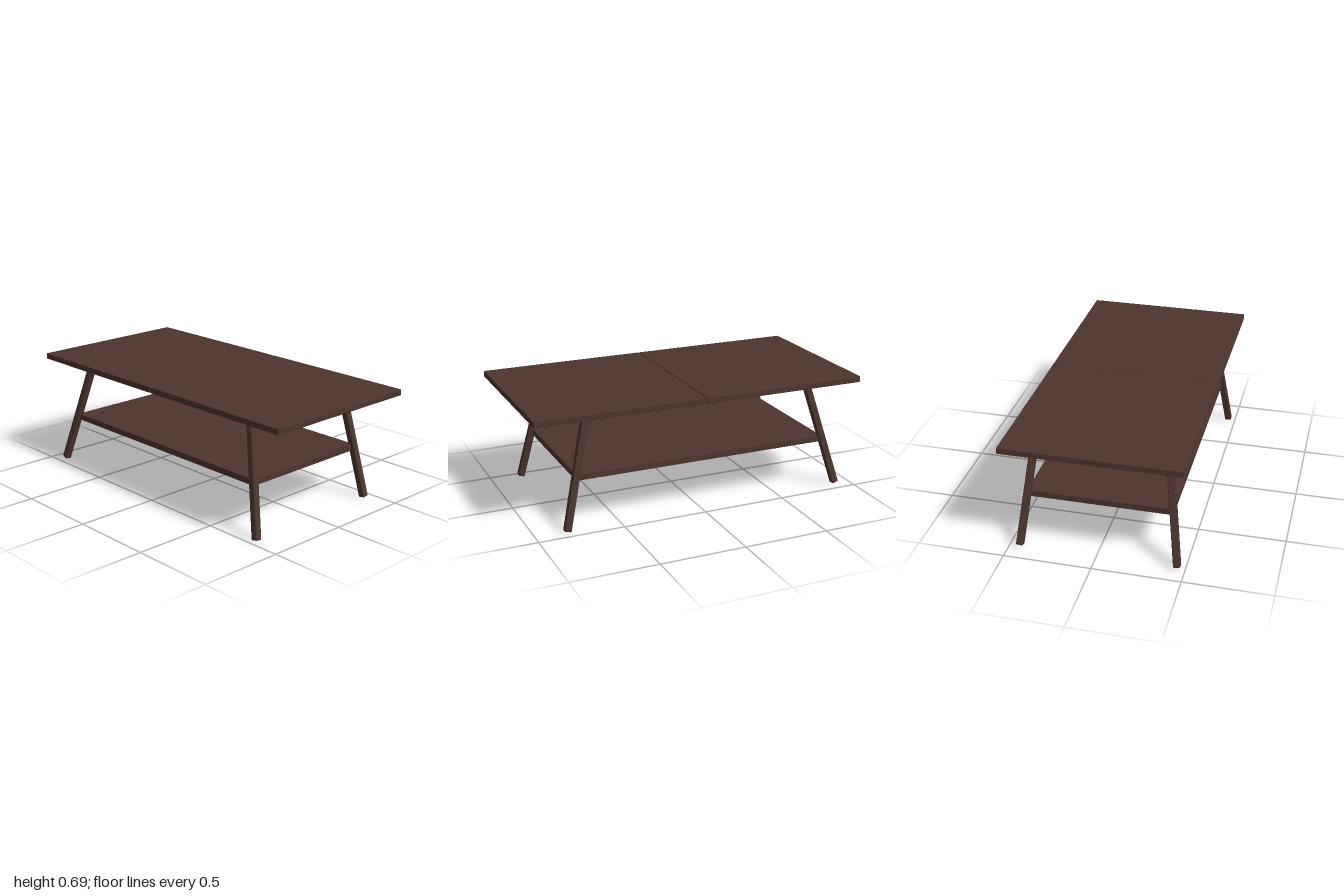
import * as THREE from 'three';
import { RoundedBoxGeometry } from 'three/addons/geometries/RoundedBoxGeometry.js';

export function createModel() {
  const table = new THREE.Group();
  table.name = 'coffeeTable';
  const wood = new THREE.MeshStandardMaterial({ color: 0x4e342e });
  wood.name = 'darkWood';

  // Softly eased wooden board
  function board(name, w, h, d, x, y, z, radius) {
    const mesh = new THREE.Mesh(new RoundedBoxGeometry(w, h, d, 2, radius), wood);
    mesh.name = name;
    mesh.position.set(x, y, z);
    table.add(mesh);
    return mesh;
  }

  // Table top in two halves with a thin seam between them
  const gap = 0.005;
  const half = 1 - gap / 2;
  for (const side of [1, -1]) {
    board(side > 0 ? 'frontTop' : 'backTop', 1, 0.036, half, 0, 0.678, side * (gap / 2 + half / 2), 0.004);
  }

  // Lower shelf, its corners resting in the legs
  board('shelf', 0.824, 0.038, 1.55, 0, 0.307, -0.028, 0.003);

  // Four splayed legs: bottom and top of each centre line
  const sides = [
    { name: 'Right', bottom: -0.456, top: -0.361 },
    { name: 'Left', bottom: 0.438, top: 0.374 },
  ];
  const ends = [
    { name: 'front', bottom: 0.816, top: 0.667, foot: 0.01 },
    { name: 'back', bottom: -0.895, top: -0.7, foot: 0.02 },
  ];
  const up = new THREE.Vector3(0, 1, 0);
  for (const s of sides) {
    for (const e of ends) {
      const foot = new THREE.Vector3(s.bottom, e.foot, e.bottom);
      const head = new THREE.Vector3(s.top, 0.67, e.top);
      const axis = head.clone().sub(foot);
      const mid = foot.clone().add(head).multiplyScalar(0.5);
      const leg = board(e.name + s.name + 'Leg', 0.04, axis.length(), 0.04, mid.x, mid.y, mid.z, 0.006);
      leg.quaternion.setFromUnitVectors(up, axis.normalize());
    }
  }
  return table;
}
